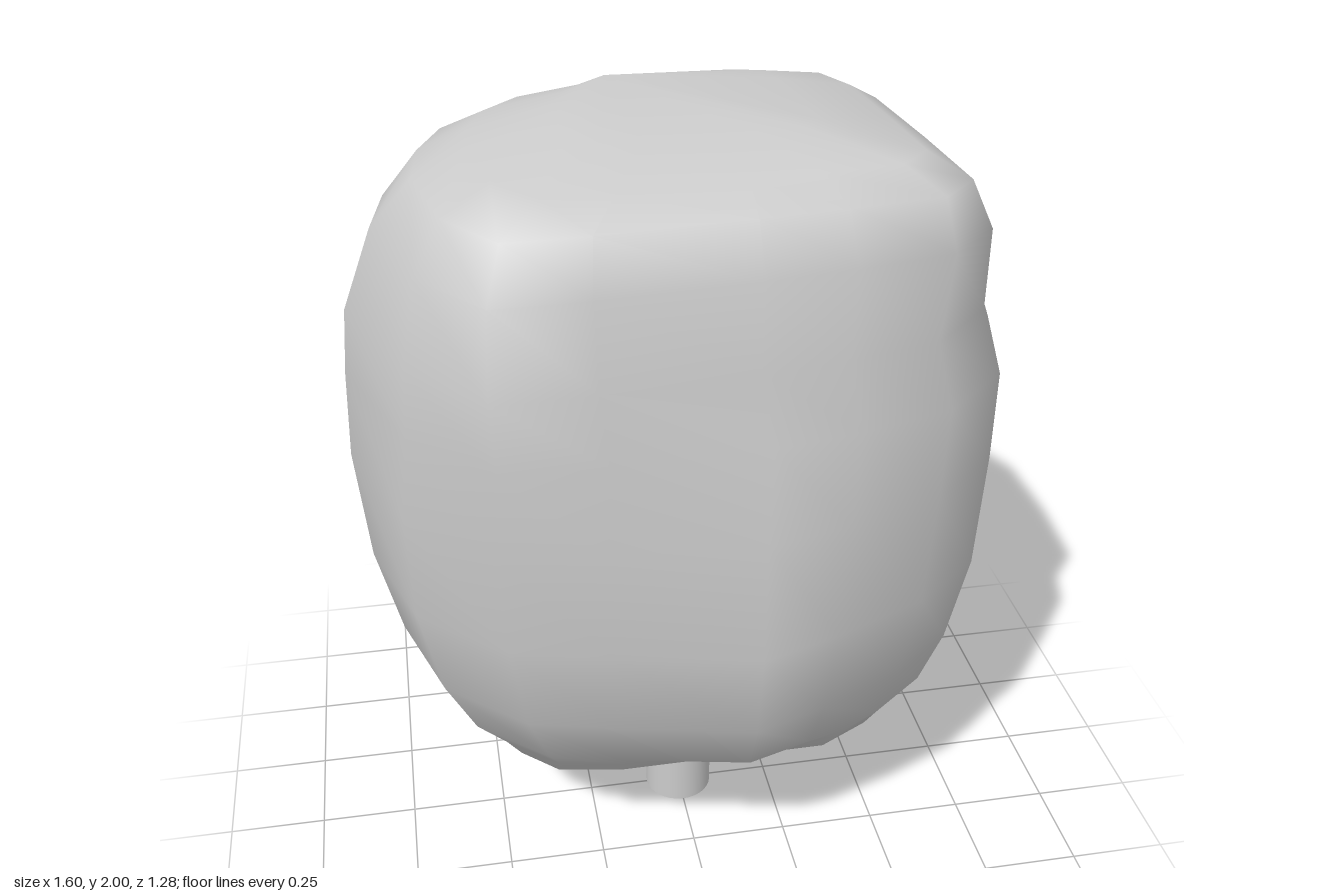
import * as THREE from 'three';

// Lopsided cross-sections seen from above, corner for corner: [x, z]
const BOTTOM = [
  [-0.5, 0], [-0.5, -0.14], [-0.47, -0.26], [-0.37, -0.36], [-0.28, -0.41], [-0.13, -0.45],
  [0.1, -0.47], [0.36, -0.45], [0.47, -0.37], [0.54, -0.25], [0.57, 0], [0.55, 0.17],
  [0.4, 0.24], [0.25, 0.23], [0.1, 0.22], [-0.2, 0.23], [-0.38, 0.2], [-0.47, 0.12],
];
const MIDDLE = [
  [-0.8, 0.03], [-0.75, -0.16], [-0.66, -0.31], [-0.56, -0.41], [-0.35, -0.56], [-0.13, -0.63],
  [0.14, -0.64], [0.5, -0.54], [0.73, -0.4], [0.79, -0.27], [0.78, 0], [0.72, 0.33],
  [0.54, 0.47], [0.3, 0.57], [0.1, 0.635], [-0.25, 0.56], [-0.49, 0.5], [-0.7, 0.32],
];
const UPPER = [
  [-0.78, 0.03], [-0.73, -0.16], [-0.64, -0.31], [-0.53, -0.41], [-0.34, -0.53], [-0.13, -0.58],
  [0.14, -0.59], [0.5, -0.53], [0.71, -0.41], [0.77, -0.27], [0.75, 0], [0.67, 0.28],
  [0.51, 0.43], [0.3, 0.48], [0.1, 0.51], [-0.25, 0.54], [-0.48, 0.55], [-0.65, 0.36],
];
const TOP = [
  [-0.6, 0.06], [-0.58, -0.12], [-0.52, -0.26], [-0.42, -0.36], [-0.29, -0.41], [-0.13, -0.44],
  [0.1, -0.45], [0.36, -0.46], [0.5, -0.43], [0.56, -0.3], [0.59, 0], [0.61, 0.28],
  [0.52, 0.37], [0.3, 0.4], [0.1, 0.42], [-0.25, 0.45], [-0.44, 0.45], [-0.55, 0.3],
];
const SECTIONS = [BOTTOM, MIDDLE, UPPER, TOP];

// Body at each height: [y, xMin, xMax, zMin, zMax, place along SECTIONS]
const LEVELS = [
  [0.18, 0.02, 0.02, -0.13, -0.13, 0],
  [0.185, -0.14, 0.18, -0.24, 0.0, 0],
  [0.21, -0.38, 0.35, -0.32, 0.17, 0],
  [0.27, -0.48, 0.51, -0.45, 0.24, 0.1],
  [0.33, -0.54, 0.58, -0.49, 0.315, 0.5],
  [0.46, -0.64, 0.66, -0.57, 0.48, 0.95],
  [0.66, -0.72, 0.695, -0.59, 0.6, 1],
  [0.9, -0.775, 0.74, -0.615, 0.64, 1],
  [1.18, -0.8, 0.78, -0.64, 0.6, 1.4],
  [1.4, -0.79, 0.8, -0.61, 0.565, 1.8],
  [1.56, -0.775, 0.74, -0.585, 0.55, 2.1],
  [1.76, -0.7, 0.67, -0.53, 0.52, 2.6],
  [1.87, -0.6, 0.6, -0.46, 0.45, 3],
  [1.92, -0.48, 0.51, -0.39, 0.36, 3],
  [1.96, -0.28, 0.3, -0.3, 0.18, 3],
  [2.0, -0.14, -0.14, -0.18, -0.18, 3],
];

// Blend two neighbouring cross-sections and fit the result to one level's extents
function ring([y, x0, x1, z0, z1, place]) {
  const k = Math.min(Math.floor(place), SECTIONS.length - 2);
  const points = SECTIONS[k].map((p, i) => new THREE.Vector2(...p).lerp(new THREE.Vector2(...SECTIONS[k + 1][i]), place - k));
  const { min, max } = new THREE.Box2().setFromPoints(points);
  return points.flatMap((p) => [
    THREE.MathUtils.mapLinear(p.x, min.x, max.x, x0, x1), y,
    THREE.MathUtils.mapLinear(p.y, min.y, max.y, z0, z1),
  ]);
}

// Skin the rings from bottom to top
function bodyGeometry() {
  const n = MIDDLE.length;
  const last = (LEVELS.length - 1) * n;
  const indices = [];
  for (let low = 0; low < last; low += n) {
    const high = low + n;
    for (let i = 0; i < n; i++) {
      const j = (i + 1) % n;
      // The first and last levels are single points shared by their whole cap
      if (low === 0) indices.push(0, high + i, high + j);
      else if (high === last) indices.push(low + i, last, low + j);
      else indices.push(low + i, high + i, high + j, low + i, high + j, low + j);
    }
  }
  const geometry = new THREE.BufferGeometry();
  geometry.setAttribute('position', new THREE.Float32BufferAttribute(LEVELS.flatMap(ring), 3));
  geometry.setIndex(indices);
  geometry.computeVertexNormals();
  return geometry;
}

export function createModel() {
  const group = new THREE.Group();
  const material = new THREE.MeshStandardMaterial({ color: 0xcccccc });

  const body = new THREE.Mesh(bodyGeometry(), material);
  body.name = 'body';

  // Short round peg the body stands on
  const peg = new THREE.Mesh(new THREE.CylinderGeometry(0.09, 0.09, 0.21, 32), material);
  peg.name = 'peg';
  peg.position.y = 0.105;

  group.add(body, peg);
  return group;
}
